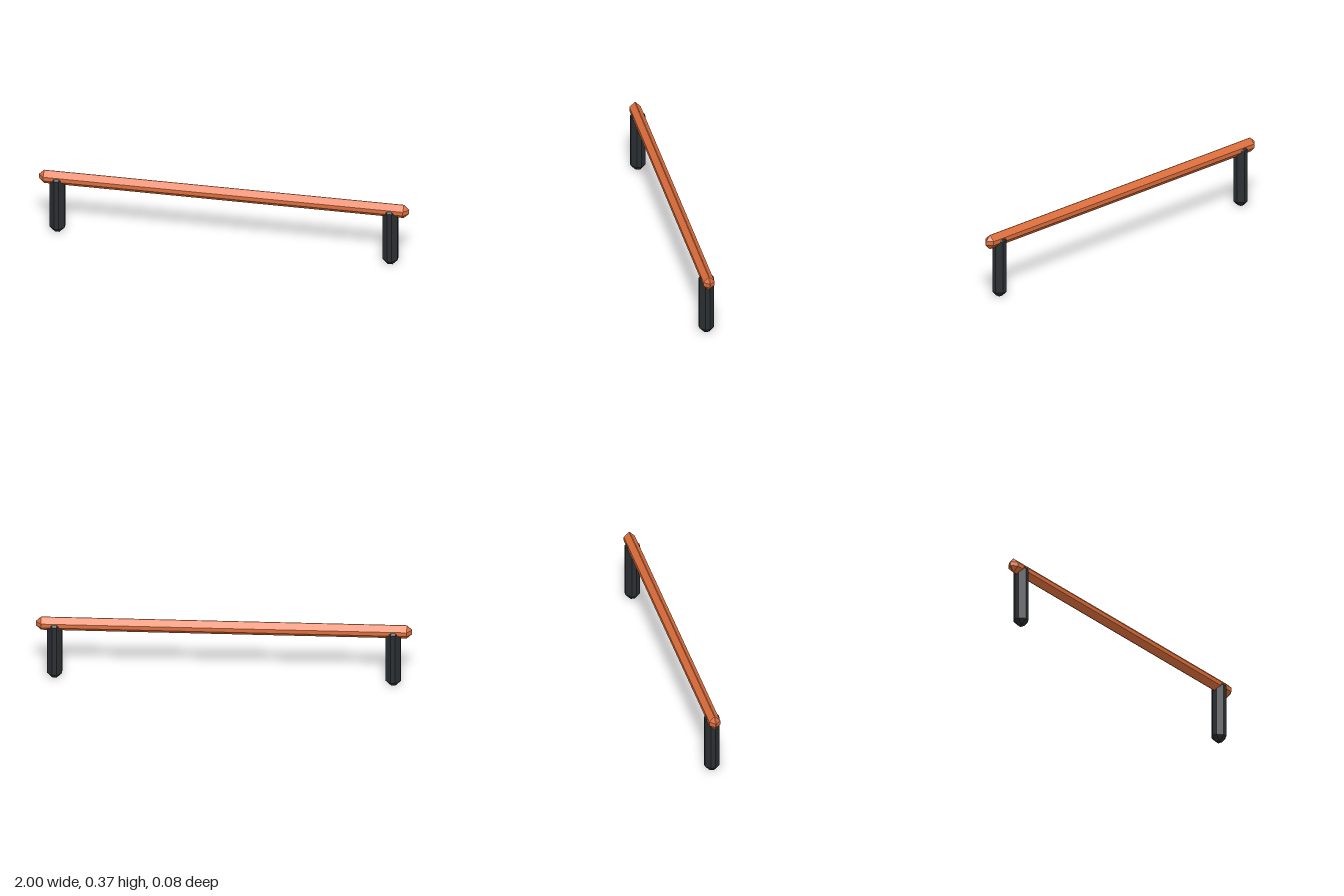
import * as THREE from 'three';
import { ConvexGeometry } from 'three/addons/geometries/ConvexGeometry.js';

// Box with every edge cut back by a flat chamfer
function chamferBox(w, h, d, bevel) {
  const half = [w / 2, h / 2, d / 2];
  const points = [];
  for (const sx of [-1, 1]) for (const sy of [-1, 1]) for (const sz of [-1, 1]) {
    const signs = [sx, sy, sz];
    // each corner becomes three points, one per neighbouring face
    for (let face = 0; face < 3; face++) {
      points.push(new THREE.Vector3(
        ...signs.map((s, i) => s * (half[i] - (i === face ? 0 : bevel)))
      ));
    }
  }
  return new ConvexGeometry(points);
}

export function createModel() {
  const group = new THREE.Group();
  group.name = 'lowRail';
  const orange = new THREE.MeshStandardMaterial({ color: 0xdd6e3c, flatShading: true });
  const charcoal = new THREE.MeshStandardMaterial({ color: 0x2b2f32, flatShading: true });

  // Long horizontal bar
  const bar = new THREE.Mesh(chamferBox(2, 0.079, 0.06, 0.028), orange);
  bar.name = 'bar';
  bar.position.y = 0.326;
  group.add(bar);

  // Upright posts, sunk into the bar
  const postGeometry = chamferBox(0.08, 0.35, 0.08, 0.028);
  for (const side of [-1, 1]) {
    const post = new THREE.Mesh(postGeometry, charcoal);
    post.name = side > 0 ? 'leftPost' : 'rightPost';
    post.position.set(side * 0.9, 0.175, 0);
    group.add(post);
  }
  return group;
}
